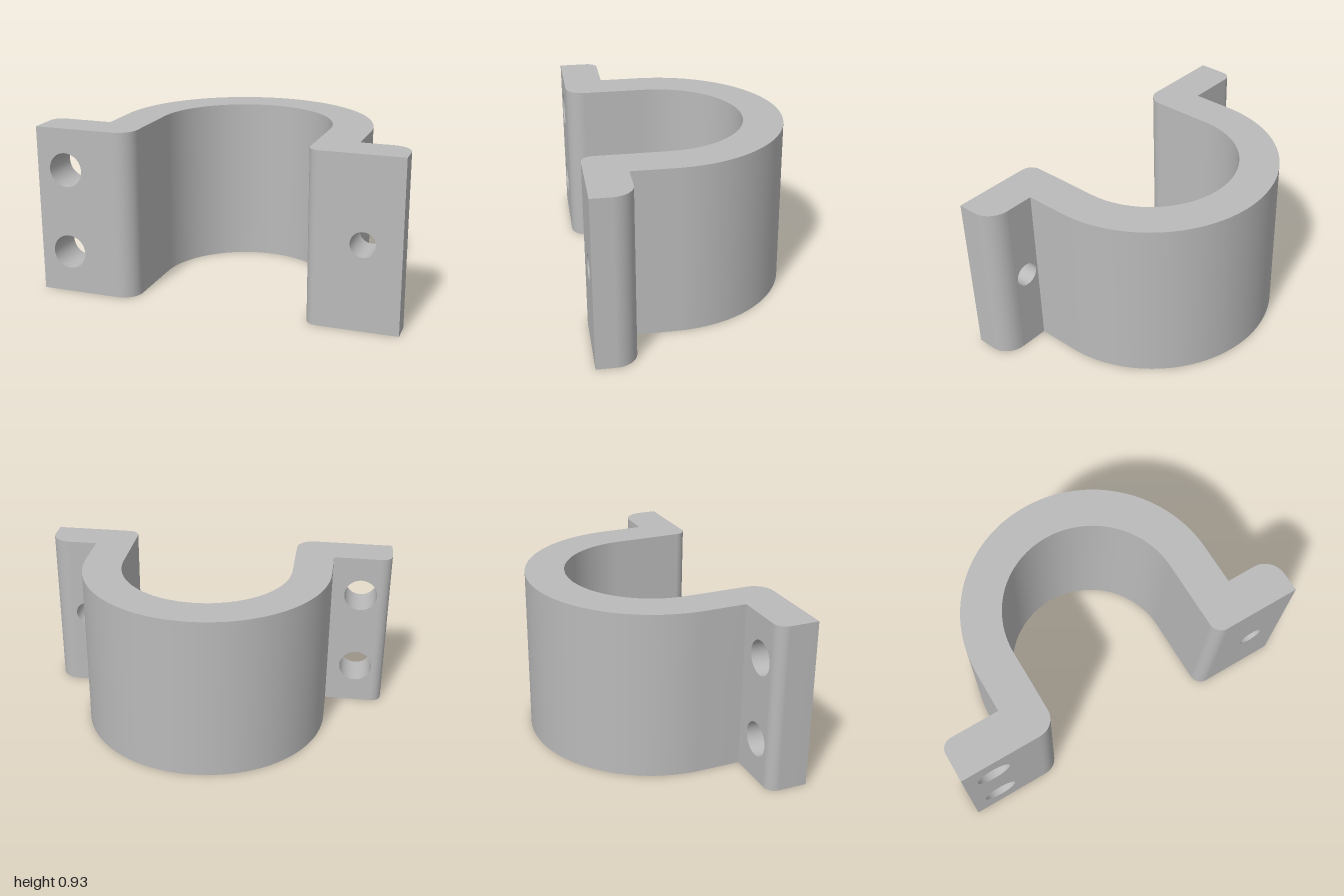
import * as THREE from 'three';

const H = 0.926;                    // clamp height
const CX = 0.027, CY = -0.122;      // bend centre (plan: x, y = -z)
const R = 0.695, RI = 0.477;        // outer and inner bend radius
const FRONT = -0.573, BACK = -0.352; // flange faces in plan
const XR = CX + R, XL = CX - R, IR = CX + RI, IL = CX - RI;

// Points of an arc from angle a to b, in units of a quarter turn
function arc(cx, cy, r, a, b, n) {
  return Array.from({ length: n + 1 }, (_, i) => {
    const t = (a + (b - a) * i / n) * Math.PI / 2;
    return new THREE.Vector2(cx + r * Math.cos(t), cy + r * Math.sin(t));
  });
}
const pt = (x, y) => new THREE.Vector2(x, y);

// Upright smooth wall along a plan path
function wall(path) {
  const pos = [], idx = [];
  path.forEach((p, i) => {
    pos.push(p.x, 0, -p.y, p.x, H, -p.y);
    if (i) {
      const a = 2 * i - 2;
      idx.push(a, a + 2, a + 3, a, a + 3, a + 1);
    }
  });
  const g = new THREE.BufferGeometry();
  g.setAttribute('position', new THREE.Float32BufferAttribute(pos, 3));
  g.setIndex(idx);
  g.computeVertexNormals();
  return g;
}

// Flat upright panel with bolt holes
function panel(x0, x1, z, holes, facesBack) {
  const s = new THREE.Shape([pt(x0, 0), pt(x1, 0), pt(x1, H), pt(x0, H)]);
  for (const [x, y, r] of holes) s.holes.push(new THREE.Path().absarc(x, y, r, 0, Math.PI * 2, true));
  const g = new THREE.ShapeGeometry(s, 24);
  if (facesBack) {
    const a = g.index.array;
    for (let i = 0; i < a.length; i += 3) [a[i], a[i + 1]] = [a[i + 1], a[i]];
    g.computeVertexNormals();
  }
  return g.translate(0, 0, z);
}

export function createModel() {
  const group = new THREE.Group();
  const steel = new THREE.MeshStandardMaterial({ color: 0xbababa });
  steel.name = 'grey steel';
  const boreSteel = steel.clone();
  boreSteel.side = THREE.BackSide;
  const add = (name, geo, mat = steel) => {
    const m = new THREE.Mesh(geo, mat);
    m.name = name;
    group.add(m);
    return m;
  };

  // Plan outline, anticlockwise, in four smooth runs
  const rIL = 0.1, rIR = 0.065, rOR = 0.115, rOL = 0.06;
  const inner = [
    ...arc(IL - rIL, FRONT + rIL, rIL, -1, 0, 10),
    ...arc(CX, CY, RI, 2, 0, 64),
    ...arc(IR + rIR, FRONT + rIR, rIR, 2, 3, 10),
  ];
  const rightEnd = [pt(1, FRONT), ...arc(1 - rOR, BACK - rOR, rOR, 0, 1, 10)];
  const outer = [pt(XR, BACK), ...arc(CX, CY, R, 0, 2, 64), pt(XL, BACK)];
  const leftEnd = [...arc(-1 + rOL, BACK - rOL, rOL, 1, 2, 10), pt(-1, FRONT)];
  add('innerWall', wall(inner));
  add('rightEndWall', wall(rightEnd));
  add('outerWall', wall(outer));
  add('leftEndWall', wall(leftEnd));

  // Top and bottom faces
  const plan = new THREE.Shape([...inner, ...rightEnd, ...outer, ...leftEnd]);
  add('topFace', new THREE.ShapeGeometry(plan).rotateX(-Math.PI / 2).translate(0, H, 0));
  const under = new THREE.Shape(plan.getPoints().map(p => pt(p.x, -p.y)));
  add('bottomFace', new THREE.ShapeGeometry(under).rotateX(Math.PI / 2));

  // Flange faces with bolt holes: two on one side, one on the other
  const pair = [[-0.835, 0.697, 0.094], [-0.835, 0.232, 0.094]];
  const single = [[0.8, 0.464, 0.067]];
  add('pairFlangeFront', panel(-1, IL - rIL, -FRONT, pair));
  add('pairFlangeBack', panel(-1 + rOL, XL, -BACK, pair, true));
  add('singleFlangeFront', panel(IR + rIR, 1, -FRONT, single));
  add('singleFlangeBack', panel(XR, 1 - rOR, -BACK, single, true));

  // Bores through the flanges
  for (const [x, y, r] of [...pair, ...single]) {
    const g = new THREE.CylinderGeometry(r, r, BACK - FRONT, 48, 1, true).rotateX(Math.PI / 2);
    add('boltBore', g, boreSteel).position.set(x, y, -(FRONT + BACK) / 2);
  }
  return group;
}
